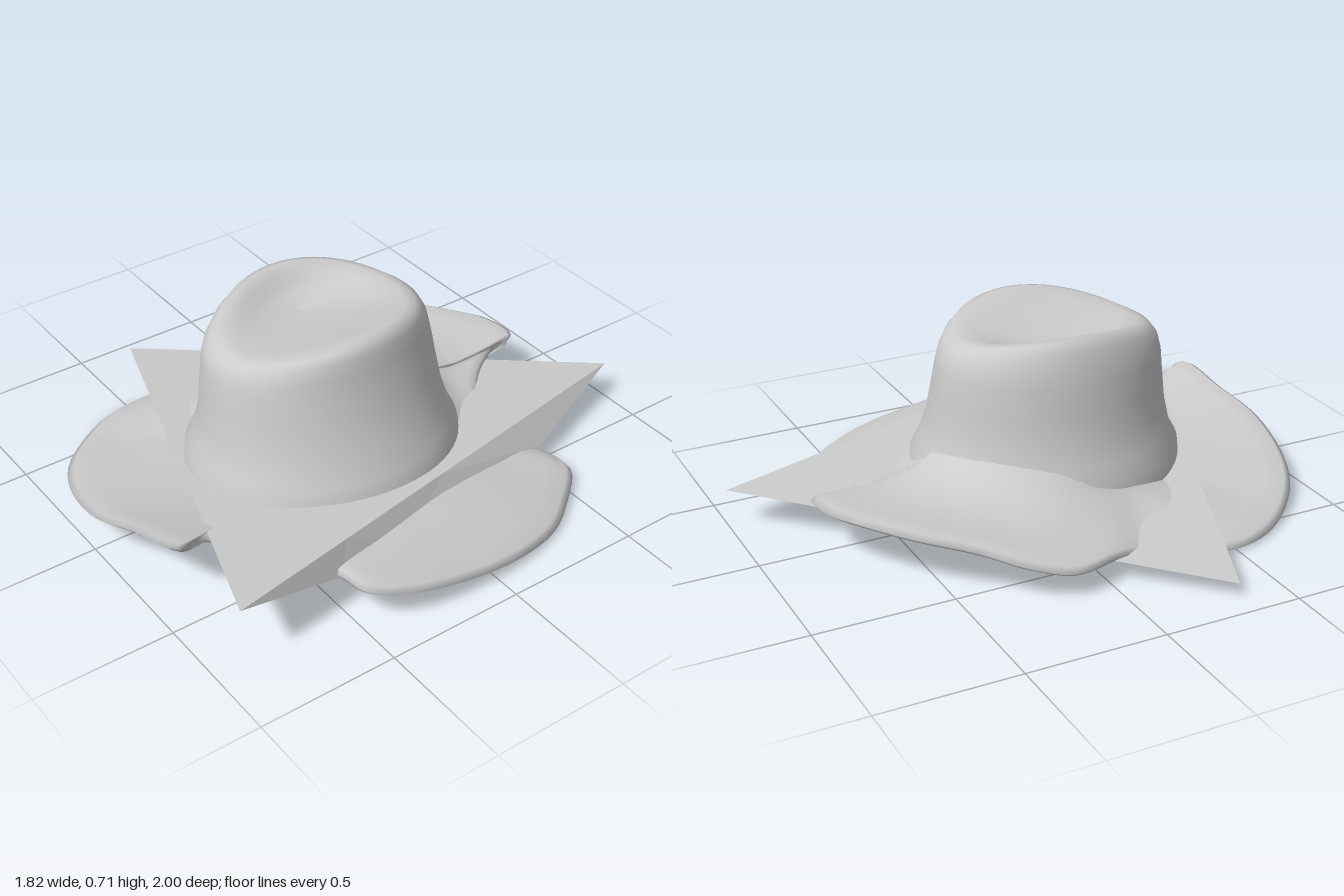
import * as THREE from 'three';

const material = new THREE.MeshStandardMaterial({ color: 0xcccccc, side: THREE.DoubleSide });

// Corners of the flat triangular sheet
const A = new THREE.Vector3(-0.91, 0.06, 0.33);
const B = new THREE.Vector3(0.33, 0.145, -1.0);
const C = new THREE.Vector3(0.78, 0.265, 0.92);
const normal = new THREE.Vector3().subVectors(C, A).cross(new THREE.Vector3().subVectors(B, A));
const sheetY = (x, z) => A.y - (normal.x * (x - A.x) + normal.z * (z - A.z)) / normal.y;

// Joins closed rings of points into one smooth surface
function loft(name, rings) {
  const n = rings[0].length, index = [];
  for (let j = 0; j < rings.length - 1; j++) {
    for (let i = 0; i < n; i++) {
      const a = j * n + i, b = j * n + (i + 1) % n;
      index.push(a, a + n, b, b, a + n, b + n);
    }
  }
  const geometry = new THREE.BufferGeometry().setFromPoints(rings.flat());
  geometry.setIndex(index);
  geometry.computeVertexNormals();
  const mesh = new THREE.Mesh(geometry, material);
  mesh.name = name;
  return mesh;
}

// Flat facets from loose triangles
function facets(name, points) {
  const geometry = new THREE.BufferGeometry().setFromPoints(points);
  geometry.computeVertexNormals();
  const mesh = new THREE.Mesh(geometry, material);
  mesh.name = name;
  return mesh;
}

function makeCrown() {
  const N = 64;
  // y, centre x, radius x, radius z; the last number blends in the rim height
  const rows = [
    [0.12, 0.10, 0.445, 0.505, 0], [0.20, 0.10, 0.437, 0.497, 0], [0.26, 0.10, 0.41, 0.465, 0],
    [0.35, 0.09, 0.375, 0.443, 0], [0.45, 0.08, 0.352, 0.43, 0], [0.55, 0.07, 0.334, 0.417, 0],
    [0.60, 0.07, 0.323, 0.404, 0.2], [0.635, 0.072, 0.311, 0.38, 0.6], [0.652, 0.074, 0.295, 0.35, 0.95],
    [0.656, 0.072, 0.27, 0.315, 1], [0.65, 0.055, 0.225, 0.265, 0.75], [0.64, 0.025, 0.17, 0.2, 0.4],
    [0.628, -0.01, 0.1, 0.12, 0.1], [0.618, -0.03, 0.001, 0.001, 0],
  ];
  return loft('crown', rows.map(([y, cx, rx, rz, rim]) => Array.from({ length: N }, (_, i) => {
    const t = i / N * Math.PI * 2;
    const h = y + rim * (0.057 * Math.cos(t) ** 2 - 0.01 * Math.sin(t));
    return new THREE.Vector3(cx + rx * Math.cos(t), h, 0.133 + rz * Math.sin(t));
  })));
}

function makeBrim() {
  // Wavy outer edge with its notches: x, height, z
  const edge = [
    [0.91, 0.08, 0.1], [0.89, 0.13, 0.35], [0.83, 0.16, 0.48], [0.73, 0.17, 0.51], [0.62, 0.175, 0.56],
    [0.46, 0.19, 0.7], [0.37, 0.215, 0.79], [0.41, 0.262, 0.915], [0.2, 0.22, 0.96], [0.03, 0.175, 1.0],
    [-0.2, 0.12, 0.97], [-0.38, 0.08, 0.89], [-0.53, 0.045, 0.75], [-0.62, 0.035, 0.6], [-0.64, 0.035, 0.44],
    [-0.58, 0.055, 0.25], [-0.62, 0.1, 0.06], [-0.68, 0.115, -0.15], [-0.63, 0.15, -0.3], [-0.52, 0.185, -0.43],
    [-0.38, 0.21, -0.6], [-0.2, 0.215, -0.73], [-0.1, 0.215, -0.785], [0.035, 0.21, -0.79], [0.045, 0.18, -0.68],
    [0.15, 0.15, -0.53], [0.32, 0.11, -0.46], [0.5, 0.08, -0.5], [0.55, 0.06, -0.55], [0.64, 0.055, -0.56],
    [0.75, 0.045, -0.45], [0.85, 0.04, -0.3], [0.9, 0.055, -0.1],
  ].map(p => new THREE.Vector3(...p));
  const N = 132;
  const curve = new THREE.CatmullRomCurve3(edge, true, 'centripetal');
  const outer = Array.from({ length: N }, (_, i) => curve.getPoint(i / N));

  // One ring across the brim: s runs from the opening (0) to the edge (1)
  const ring = (s, under) => outer.map(p => {
    const t = Math.atan2((p.z - 0.13) / 0.45, (p.x - 0.1) / 0.4);
    const x = 0.1 + 0.4 * Math.cos(t), z = 0.13 + 0.45 * Math.sin(t);
    // The back right of the brim sweeps up into the crown
    const lift = Math.max(0, -(Math.cos(t) + Math.sin(t)) / Math.SQRT2);
    const top = sheetY(x, z) - 0.025 + 0.09 * lift;
    const flare = 0.11 * lift * (1 - s) ** 4;
    const start = under ? Math.min(top - 0.02, 0.12 - 0.15 * (x - 0.1) ** 2) : top + flare;
    const end = p.y - (under ? 0.032 : 0);
    const y = THREE.MathUtils.lerp(start, end, s ** 1.3);
    return new THREE.Vector3(x + (p.x - x) * s, Math.max(0, y), z + (p.z - z) * s);
  });
  const steps = [0, 0.1, 0.2, 0.4, 0.6, 0.8, 0.95];
  const rim = outer.map(p => new THREE.Vector3(p.x, Math.max(0.01, p.y - 0.015), p.z));
  // The opening has a short wall that meets the sheet
  const wall = ring(0, true).map(p => new THREE.Vector3(p.x, Math.max(p.y, sheetY(p.x, p.z)), p.z));
  const group = new THREE.Group();
  group.name = 'brim';
  group.add(
    loft('brimSurface', [
      ...steps.map(s => ring(s, true)), rim, ...steps.slice().reverse().map(s => ring(s, false)),
    ]),
    loft('openingWall', [wall, ring(0, true)]),
  );
  return group;
}

function makeSheet() {
  const group = new THREE.Group();
  group.name = 'pointedSheet';
  group.add(facets('sheetTop', [A, C, B]));
  // Steep strip dropping from the long side edge to the brim
  const low = [B, [0.51, 0.08, -0.53], [0.66, 0.11, 0.18], [0.72, 0.14, 0.5], C]
    .map(p => (p.isVector3 ? p : new THREE.Vector3(...p)));
  const points = [];
  for (let i = 0; i < low.length - 1; i++) {
    const u = B.clone().lerp(C, i / 4), v = B.clone().lerp(C, (i + 1) / 4);
    points.push(u, v, low[i], v, low[i + 1], low[i]);
  }
  group.add(facets('sheetSide', points));
  return group;
}

export function createModel() {
  const model = new THREE.Group();
  model.name = 'hat';
  model.add(makeCrown(), makeBrim(), makeSheet());
  return model;
}
